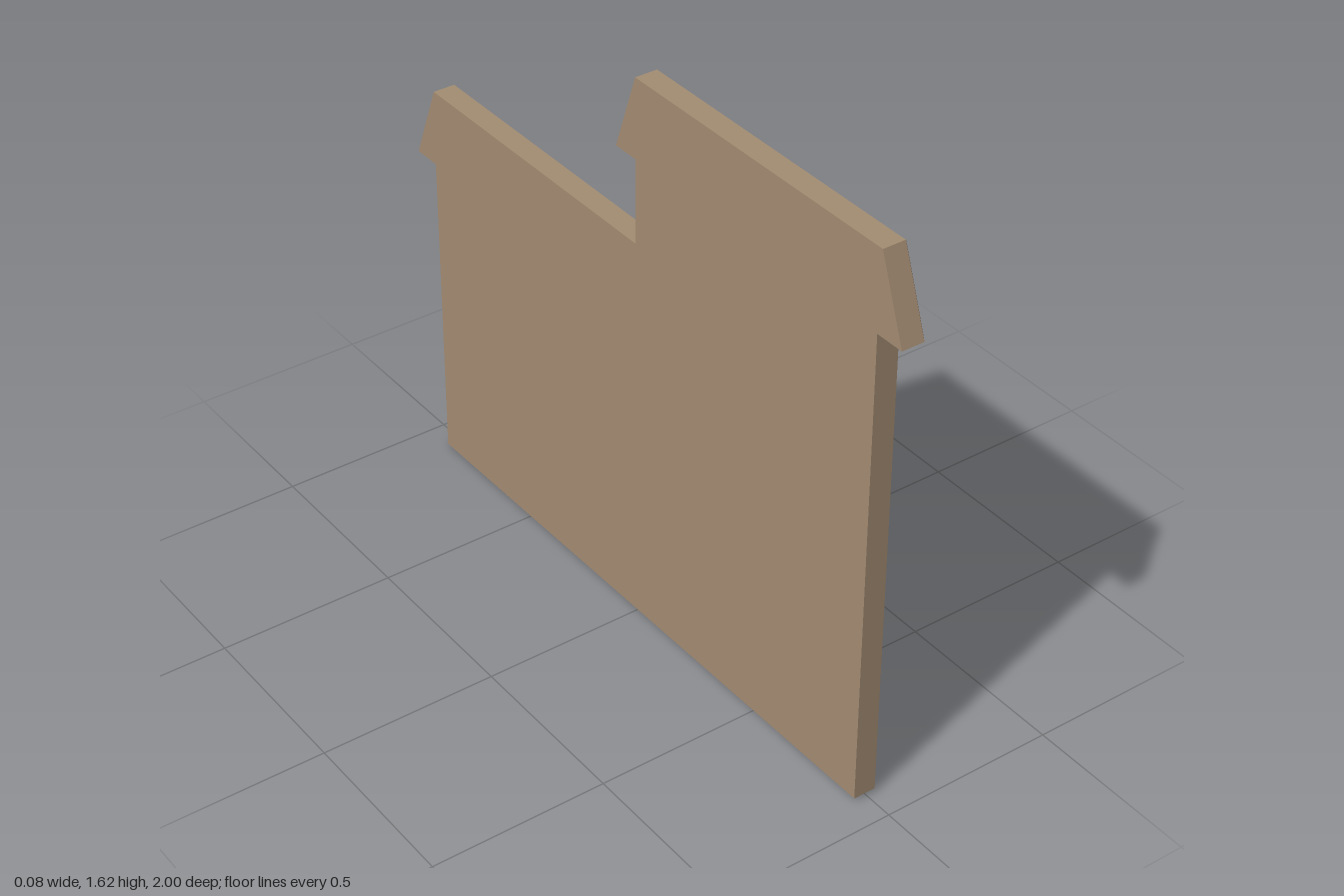
import * as THREE from 'three';

const BACK = -0.04, EDGE = 0.024, FACE = 0.032, STEP = 0.0008, BEVEL = 0.01;

function mat(name, color) {
  const m = new THREE.MeshStandardMaterial({ color });
  m.name = name;
  return m;
}

// Points are written as [z, y]; the facade is drawn flat and then turned to face +x.
const toFlat = (pts) => pts.map(([z, y]) => new THREE.Vector2(-z, y));
const rect = (z1, z2, y1, y2) => [[z1, y1], [z2, y1], [z2, y2], [z1, y2]];

// Shrinks a counter-clockwise outline evenly with mitred corners.
function inset(pts, t) {
  const n = pts.length;
  const normal = (a, b) => new THREE.Vector2(a.y - b.y, b.x - a.x).normalize();
  return pts.map((p, i) => {
    const n1 = normal(pts[(i + n - 1) % n], p), n2 = normal(p, pts[(i + 1) % n]);
    const k = t / (1 + n1.dot(n2));
    return p.clone().add(n1.add(n2).multiplyScalar(k));
  });
}

// Polygon with softened corners.
function softShape(pts, r) {
  const s = new THREE.Shape(), n = pts.length;
  pts.forEach((p, i) => {
    const toward = (q) => p.clone().lerp(q, Math.min(0.4, r / p.distanceTo(q)));
    const a = toward(pts[(i + n - 1) % n]), b = toward(pts[(i + 1) % n]);
    if (i) s.lineTo(a.x, a.y); else s.moveTo(a.x, a.y);
    s.quadraticCurveTo(p.x, p.y, b.x, b.y);
  });
  s.closePath();
  return s;
}

export function createModel() {
  const wood = mat('bare board', 0xa38c72);
  const beam = mat('timber beam', 0x532c22);
  const plaster = mat('plaster', 0xbab2ac);
  const roof = mat('roof red', 0x702c2f);
  const shutter = mat('shutter maroon', 0x673a3d);
  const door = mat('door brown', 0x756353);
  const grey = mat('weathered grey', 0x8b837d);
  const tan = mat('worn tan', 0xa38c70);
  const eave = mat('eave shadow', 0x4d2428);

  const model = new THREE.Group();
  model.name = 'houseFacade';
  const flat = new THREE.Group();
  flat.name = 'facade';
  flat.rotation.y = Math.PI / 2;
  model.add(flat);

  const add = (name, geometry, material, x = 0) => {
    const mesh = new THREE.Mesh(geometry, material);
    mesh.name = name;
    mesh.position.z = x;
    flat.add(mesh);
  };
  const paint = (name, material, layer, pts, r = 0.015) =>
    add(name, new THREE.ShapeGeometry(softShape(toFlat(pts), r), 4), material, FACE + layer * STEP);

  // Board cut to the silhouette of the two houses
  const outline = toFlat([
    [0.915, 0.012], [-0.915, 0], [-0.915, 0.925], [-1, 0.925], [-0.91, 1.15], [0, 1.15],
    [0, 1.39], [-0.08, 1.39], [0, 1.615], [0.92, 1.615], [1, 1.39], [0.915, 1.39]]);
  add('board', new THREE.ExtrudeGeometry(new THREE.Shape(outline),
    { depth: EDGE - BACK, bevelEnabled: false }), wood, BACK);

  // Bevelled front edge
  const inner = inset(outline, BEVEL), tris = [];
  outline.forEach((a, i) => {
    const j = (i + 1) % outline.length, b = outline[j], c = inner[j], d = inner[i];
    tris.push(a.x, a.y, EDGE, b.x, b.y, EDGE, c.x, c.y, FACE);
    tris.push(a.x, a.y, EDGE, c.x, c.y, FACE, d.x, d.y, FACE);
  });
  const band = new THREE.BufferGeometry();
  band.setAttribute('position', new THREE.Float32BufferAttribute(tris, 3));
  band.computeVertexNormals();
  add('bevelEdge', band, wood);

  // Timber frame face behind all painted panels
  add('timberFrame', new THREE.ShapeGeometry(new THREE.Shape(inner)), beam, FACE);

  // Plaster panels between the beams
  const panels = [
    rect(0.83, 0.1, 0.98, 1.4), rect(0, -0.815, 0.55, 0.94), rect(0.82, 0.475, 0.02, 0.47),
    [[0.77, 0.91], [0.51, 0.91], [0.51, 0.66]], [[0.82, 0.83], [0.82, 0.56], [0.56, 0.56]],
    [[0.42, 0.91], [0.165, 0.91], [0.42, 0.63]], [[0.1, 0.85], [0.1, 0.56], [0.35, 0.56]],
    [[-0.045, 0.47], [-0.345, 0.47], [-0.345, 0.175]], [[0, 0.39], [0, 0.09], [-0.29, 0.09]],
    [[-0.445, 0.47], [-0.725, 0.47], [-0.445, 0.15]], [[-0.8, 0.41], [-0.8, 0.09], [-0.53, 0.09]],
  ];
  panels.forEach((p) => paint('plasterPanel', plaster, 1, p));

  // Door with a pale scratch
  paint('door', door, 1, rect(0.39, 0.1, 0.014, 0.465));
  paint('doorScratch', grey, 2, [[0.335, 0.16], [0.27, 0.3], [0.23, 0.31], [0.26, 0.24]], 0.005);
  paint('doorScratch', grey, 2, [[0.215, 0.34], [0.18, 0.39], [0.185, 0.34], [0.21, 0.31]], 0.005);

  // Tan wear on the plaster
  const wear = [
    [[0.32, 0.98], [0.1, 0.98], [0.1, 1.13], [0.14, 1.06], [0.2, 1.05], [0.23, 1.01]],
    [[0.7, 0.91], [0.51, 0.91], [0.51, 0.84], [0.55, 0.86], [0.6, 0.88]],
    [[0.42, 0.91], [0.38, 0.91], [0.39, 0.84], [0.42, 0.83]],
    [[0.82, 0.465], [0.475, 0.465], [0.475, 0.32], [0.53, 0.37], [0.58, 0.38], [0.63, 0.43], [0.82, 0.425]],
    [[0.82, 0.235], [0.76, 0.2], [0.66, 0.2], [0.655, 0.17], [0.74, 0.155], [0.82, 0.155]],
    [[0, 0.68], [-0.06, 0.63], [-0.15, 0.6], [-0.22, 0.575], [-0.34, 0.57], [-0.34, 0.55], [0, 0.55]],
    [[-0.12, 0.47], [-0.345, 0.47], [-0.345, 0.39], [-0.28, 0.41], [-0.22, 0.44]],
    [[-0.445, 0.47], [-0.5, 0.47], [-0.48, 0.39], [-0.445, 0.42]],
  ];
  wear.forEach((p) => paint('wornPatch', tan, 2, p, 0.008));
  paint('wornCorner', door, 2, [[0.89, 0.018], [0.82, 0.018], [0.82, 0.11], [0.86, 0.06]], 0.008);

  // Grey weathering under eaves and along sills
  const stains = [
    [[0.83, 1.4], [0.1, 1.4], [0.1, 1.36], [0.3, 1.375], [0.4, 1.34], [0.52, 1.365], [0.57, 1.32],
      [0.5, 1.29], [0.72, 1.28], [0.74, 1.32], [0.64, 1.37], [0.83, 1.365]],
    [[0, 0.94], [-0.815, 0.94], [-0.815, 0.85], [-0.6, 0.83], [-0.48, 0.84], [-0.5, 0.87],
      [-0.42, 0.9], [-0.2, 0.895], [0, 0.91]],
    [[0.82, 0.018], [0.475, 0.018], [0.475, 0.07], [0.55, 0.045], [0.62, 0.06], [0.7, 0.05],
      [0.77, 0.035], [0.82, 0.08]],
    [[0.54, 1.29], [0.4, 1.29], [0.4, 1.33], [0.47, 1.34]],
    rect(0.76, 0.53, 0.98, 0.995), rect(-0.49, -0.72, 0.55, 0.56),
    rect(0.81, 0.59, 0.56, 0.572), rect(0.11, 0.32, 0.56, 0.572),
    rect(-0.01, -0.26, 0.09, 0.102), rect(-0.79, -0.57, 0.09, 0.102),
    rect(0.81, 0.49, 0.465, 0.48), rect(0.38, 0.11, 0.465, 0.48),
  ];
  stains.forEach((p) => paint('greyStain', grey, 2, p, 0.008));
  paint('palePatch', plaster, 3, [[-0.59, 0.855], [-0.64, 0.85], [-0.64, 0.875], [-0.6, 0.875]], 0.008);

  // Shuttered windows: left shutter, frame, pane, right shutter
  const windows = [
    { s: [[0.885, 0.755], [0.535, 0.4]], sy: [0.977, 1.29], f: [0.757, 0.533, 1.005, 1.28], p: [0.725, 0.57, 1.05, 1.255] },
    { s: [[-0.34, -0.49], [-0.718, -0.865]], sy: [0.545, 0.835], f: [-0.488, -0.72, 0.568, 0.83], p: [-0.522, -0.697, 0.625, 0.802] },
  ];
  for (const { s, sy, f, p } of windows) {
    s.forEach(([a, b]) => paint('shutter', shutter, 3, rect(a, b, ...sy), 0.02));
    paint('windowFrame', beam, 3, rect(...f));
    paint('windowPane', tan, 4, rect(...p));
  }

  // Roofs with a dark eave line along the lower edge
  paint('towerRoof', roof, 3,
    [[0.992, 1.398], [0.912, 1.602], [0.005, 1.592], [-0.07, 1.4]], 0.02);
  paint('towerEave', eave, 4,
    [[0.99, 1.398], [0.984, 1.416], [-0.062, 1.416], [-0.068, 1.4]], 0.006);
  paint('lowRoof', roof, 3,
    [[0.09, 0.945], [0.01, 1.142], [-0.904, 1.14], [-0.986, 0.934], [0.03, 0.93]], 0.02);
  paint('lowEave', eave, 4,
    [[0.06, 0.934], [0.05, 0.95], [-0.978, 0.95], [-0.984, 0.934]], 0.006);

  return model;
}
